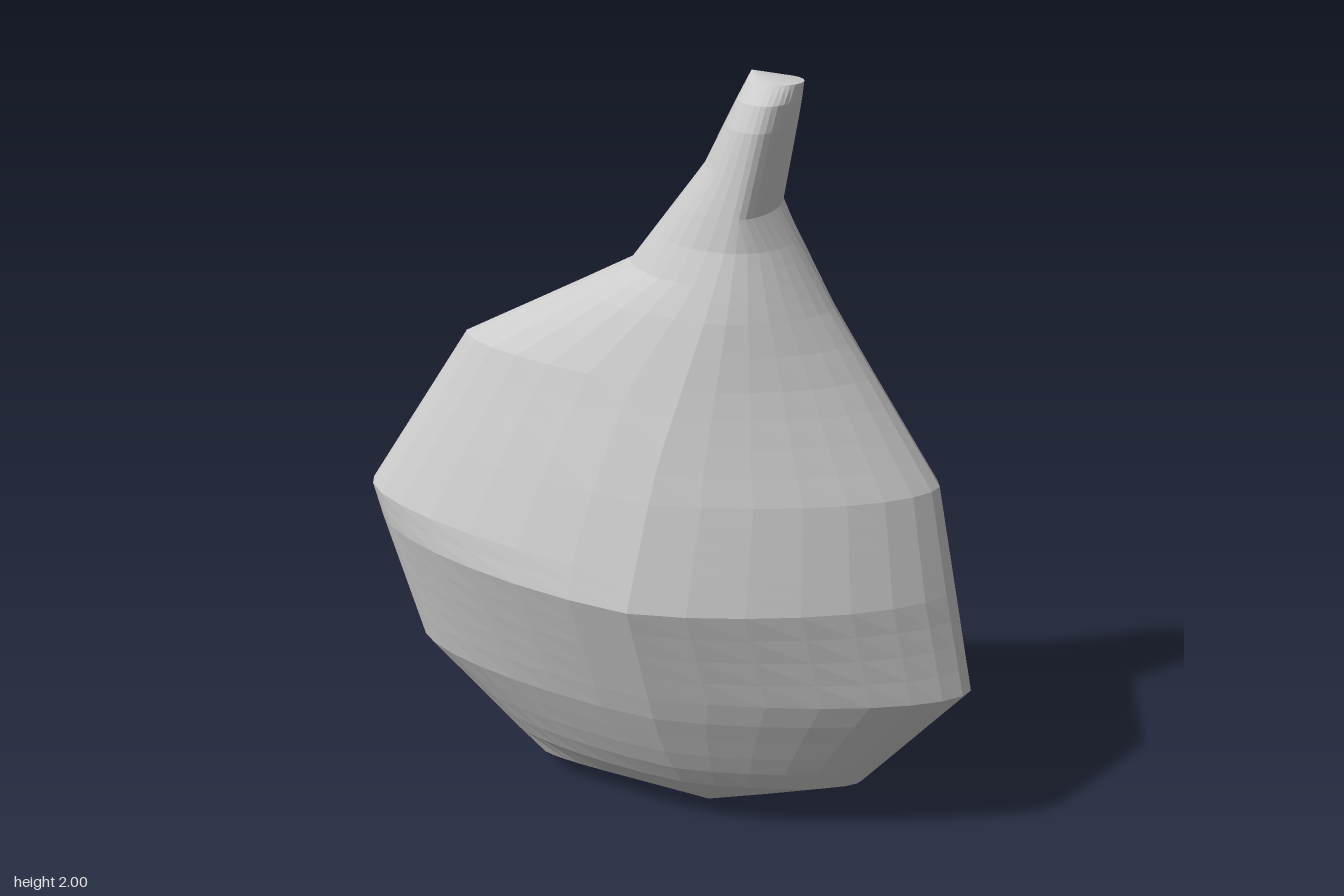
import * as THREE from 'three';

// Profiles as [y, value] pairs
const LEFT = [[0, 0.13], [0.065, -0.35], [0.39, -0.69], [0.83, -0.82], [1.28, -0.53], [1.52, -0.08], [1.78, 0.11], [2, 0.215]];
const RIGHT = [[0, 0.13], [0.14, 0.55], [0.46, 0.82], [1.01, 0.71], [1.44, 0.43], [1.68, 0.29], [1.98, 0.34], [2, 0.215]];
const RIDGE = [[0, 0.13], [0.3, 0.07], [0.74, 0.03], [1.1, 0.08], [1.45, 0.17], [1.7, 0.22], [1.98, 0.275], [2, 0.215]];
const DEPTH = [[0, 0], [0.12, 0.14], [0.22, 0.2], [0.4, 0.275], [0.74, 0.38], [1.01, 0.32], [1.25, 0.255], [1.44, 0.205],
  [1.6, 0.155], [1.72, 0.14], [1.88, 0.125], [1.94, 0.105], [1.98, 0.06], [2, 0]];

// Linear interpolation along a profile
function at(profile, y) {
  let i = 1;
  while (i < profile.length - 1 && y > profile[i][0]) i++;
  const [y0, a] = profile[i - 1], [y1, b] = profile[i];
  return THREE.MathUtils.lerp(a, b, (y - y0) / (y1 - y0));
}

// Row heights: every outline corner, with long gaps subdivided
function rowHeights() {
  const corners = [...LEFT, ...RIGHT, [0.03], [0.74], [1.6], [1.88], [1.94]].map((p) => p[0]);
  const ys = [...new Set(corners)].sort((a, b) => a - b);
  const rows = [0];
  for (let i = 1; i < ys.length; i++) {
    const n = Math.ceil((ys[i] - ys[i - 1]) / 0.08);
    for (let k = 1; k <= n; k++) rows.push(THREE.MathUtils.lerp(ys[i - 1], ys[i], k / n));
  }
  return rows;
}

// Skin of lens-shaped sections, turning oval towards the neck
function bodyGeometry(segments = 32) {
  const positions = [], index = [];
  const rows = rowHeights();
  for (const y of rows) {
    const left = at(LEFT, y), right = at(RIGHT, y), ridge = at(RIDGE, y), depth = at(DEPTH, y);
    const neck = THREE.MathUtils.smoothstep(y, 1.25, 1.7);
    const p = 1.4 + 0.6 * neck, q = 0.6 - 0.1 * neck;
    for (let j = 0; j < segments; j++) {
      const a = (j / segments) * Math.PI * 2;
      const t = Math.cos(a), r = Math.min(1, Math.abs(t));
      const x = t > 0 ? ridge + (right - ridge) * r : ridge - (ridge - left) * r;
      const z = Math.sign(Math.sin(a)) * depth * Math.pow(1 - Math.pow(r, p), q);
      positions.push(x, y, z);
    }
  }
  for (let i = 0; i < rows.length - 1; i++) {
    for (let j = 0; j < segments; j++) {
      const a = i * segments + j, b = i * segments + (j + 1) % segments;
      const c = a + segments, d = b + segments;
      if (i < rows.length - 2) index.push(a, c, d);
      if (i > 0) index.push(a, d, b);
      if (i === rows.length - 2) index[index.length - 2] = c;
    }
  }
  const geometry = new THREE.BufferGeometry();
  geometry.setAttribute('position', new THREE.Float32BufferAttribute(positions, 3));
  geometry.setIndex(index);
  geometry.computeVertexNormals();
  return geometry;
}

export function createModel() {
  const group = new THREE.Group();
  group.name = 'pouch';
  const material = new THREE.MeshStandardMaterial({ color: 0xcccccc, flatShading: true });
  const body = new THREE.Mesh(bodyGeometry(), material);
  body.name = 'bodyAndNeck';
  group.add(body);
  return group;
}
